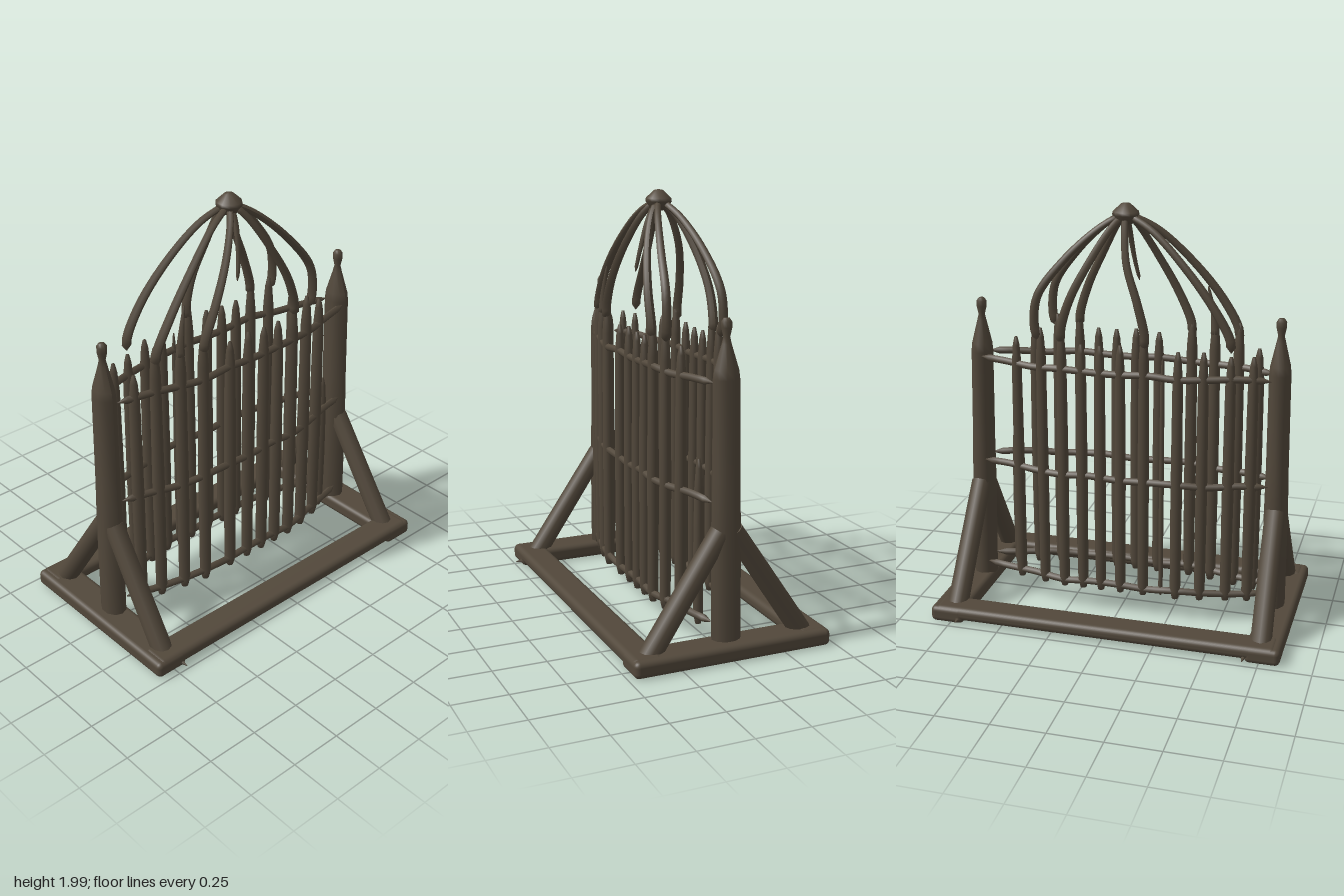
import * as THREE from 'three';
import { RoundedBoxGeometry } from 'three/addons/geometries/RoundedBoxGeometry.js';

const V = (x, y, z) => new THREE.Vector3(x, y, z);

export function createModel() {
  const root = new THREE.Group();
  root.name = 'cageGate';
  const wood = new THREE.MeshStandardMaterial({ color: 0x52483b });
  wood.name = 'darkWood';

  const add = (geo, name, x = 0, y = 0, z = 0) => {
    const m = new THREE.Mesh(geo, wood);
    m.name = name;
    m.position.set(x, y, z);
    root.add(m);
    return m;
  };
  const lathe = (pts, sides) =>
    new THREE.LatheGeometry(pts.map(([r, y]) => new THREE.Vector2(r, y)), sides);

  // tube that narrows towards its ends, each end closed to a point
  const tube = (pts, r0, r1, steps, sides = 7) => {
    const curve = new THREE.CatmullRomCurve3(pts);
    const geo = new THREE.TubeGeometry(curve, steps, 1, sides);
    const pos = geo.attributes.position, v = V(0, 0, 0);
    for (let i = 0; i <= steps; i++) {
      const c = curve.getPointAt(i / steps);
      const r = i === 0 || i === steps ? 0.002 : r0 + (r1 - r0) * (i / steps);
      for (let j = 0; j <= sides; j++) {
        const k = i * (sides + 1) + j;
        v.fromBufferAttribute(pos, k).sub(c).multiplyScalar(r).add(c);
        pos.setXYZ(k, v.x, v.y, v.z);
      }
    }
    geo.computeVertexNormals();
    return geo;
  };

  // base frame
  for (const s of [-1, 1]) {
    add(new RoundedBoxGeometry(1.66, 0.065, 0.145, 3, 0.028), 'baseLongRail', 0, 0.058, s * 0.402);
    add(new RoundedBoxGeometry(0.165, 0.078, 0.95, 3, 0.025), 'baseSideRail', s * 0.765, 0.049, 0);
  }
  for (const [x, z] of [[-0.71, 1], [-0.68, -1], [0.71, -1]]) {
    const peg = add(new THREE.ConeGeometry(0.017, 0.07, 6), 'basePeg', x, 0.035, z * 0.475);
    peg.rotation.x = z * Math.PI / 2;
  }

  // posts with pointed heads and finials
  const postProfile = [[0, 0.06], [0.056, 0.06], [0.057, 0.55], [0.053, 0.8], [0.051, 1.25], [0.047, 1.29],
    [0.022, 1.4], [0.015, 1.43], [0.024, 1.47], [0.024, 1.495], [0.014, 1.51], [0, 1.51]];
  for (const s of [-1, 1]) {
    const geo = lathe(postProfile, 10);
    const pos = geo.attributes.position;
    for (let i = 0; i < pos.count; i++) {
      const y = pos.getY(i);
      const lean = (s > 0 ? 0.027 : 0.012) * y / 1.5;
      pos.setX(i, pos.getX(i) - s * lean);
      if (y < 1.35) pos.setZ(i, pos.getZ(i) * 1.22);
    }
    geo.computeVertexNormals();
    add(geo, 'post', s * 0.74, 0, 0);

    // slanted braces
    for (const t of [-1, 1]) {
      const a = V(s * 0.745, 0.06, t * 0.375), b = V(s * 0.735, 0.58, t * 0.03);
      const brace = add(new THREE.CylinderGeometry(0.047, 0.05, a.distanceTo(b), 10), 'brace');
      brace.position.copy(a).lerp(b, 0.5);
      brace.quaternion.setFromUnitVectors(V(0, 1, 0), b.clone().sub(a).normalize());
    }
  }

  // bowed line of the cage wall
  const depthAt = x => {
    const a = Math.abs(x);
    return a < 0.3 ? 0.15 : 0.15 - 0.095 * Math.pow((a - 0.3) / 0.4, 1.1);
  };

  // three horizontal rails on each wall
  for (const t of [-1, 1]) {
    for (const y of [0.16, 0.71, 1.232]) {
      const pts = [];
      for (let i = 0; i <= 10; i++) {
        const x = -0.7 + i * 0.14;
        pts.push(V(x, y + 0.005 * Math.sin(i * 2.3 + y * 9), t * depthAt(x)));
      }
      add(tube(pts, 0.017, 0.017, 30), 'cageRail');
    }
  }

  // upright bars
  const bar = (x, z, top, r = 0.027, bottom = 0.11) => add(lathe([[0, bottom], [r * 0.6, bottom + 0.005],
    [r, bottom + 0.05], [r * 1.08, top * 0.5], [r * 0.95, top - 0.14], [r * 0.65, top - 0.04],
    [r * 0.3, top], [0, top]], 8), 'cageBar', x, 0, z);
  const bars = [[-0.62, 1.34], [-0.52, 1.45], [-0.4, 1.45], [-0.285, 1.44], [-0.125, 1.44], [-0.012, 1.37],
    [0.085, 1.36], [0.175, 1.36], [0.27, 1.42], [0.375, 1.42], [0.485, 1.36]];
  const backTops = { '-0.4': 1.36, '-0.285': 1.36, '-0.52': 1.34 };
  for (const [x, top] of bars) {
    bar(x, depthAt(x) - 0.004, x === -0.125 ? 1.36 : top, 0.027, 0.11);
    const bx = x > 0.45 ? x + 0.022 : x;
    bar(bx, -depthAt(bx) + 0.004, backTops[x] ?? top, 0.026, 0.12);
  }
  bar(-0.213, -0.145, 1.32, 0.011, 0.13);
  bar(0.578, 0.06, 0.87, 0.023, 0.1);

  // dome ribs bending up to the hub
  const levels = [1.36, 1.42, 1.57, 1.74, 1.88, 1.945];
  const inward = [1, 1.02, 1, 0.78, 0.42, 0.1];
  const rib = (xs, t) => {
    const z = depthAt(xs[0]);
    add(tube(xs.map((x, i) => V(x, levels[i], t * z * inward[i])), 0.023, 0.015, 28), 'domeRib');
  };
  const farLeft = [-0.52, -0.515, -0.43, -0.29, -0.14, -0.02];
  const innerLeft = [-0.285, -0.28, -0.215, -0.125, -0.05, -0.01];
  const middle = [-0.125, -0.13, -0.095, -0.035, -0.012, 0];
  const innerRight = [0.27, 0.27, 0.225, 0.14, 0.06, 0.01];
  const farRight = [0.38, 0.4, 0.385, 0.265, 0.12, 0.02];
  for (const xs of [farLeft, innerLeft, innerRight, farRight]) rib(xs, 1);
  for (const xs of [farLeft, middle, innerRight, farRight]) rib(xs, -1);

  // snapped rib: stump on the bar and the piece still hanging from the hub
  add(tube([V(-0.4, 1.36, 0.125), V(-0.395, 1.45, 0.125), V(-0.365, 1.61, 0.115)], 0.023, 0.005, 12), 'brokenRibStump');
  add(tube([V(0, 1.945, 0.01), V(-0.005, 1.86, 0.05), V(-0.02, 1.72, 0.085), V(-0.04, 1.62, 0.1)], 0.016, 0.008, 14),
    'brokenRibEnd');

  // hub cap
  add(lathe([[0, 1.905], [0.035, 1.905], [0.062, 1.945], [0.06, 1.96], [0.022, 1.995], [0, 2]], 10), 'domeHub');

  return root;
}
